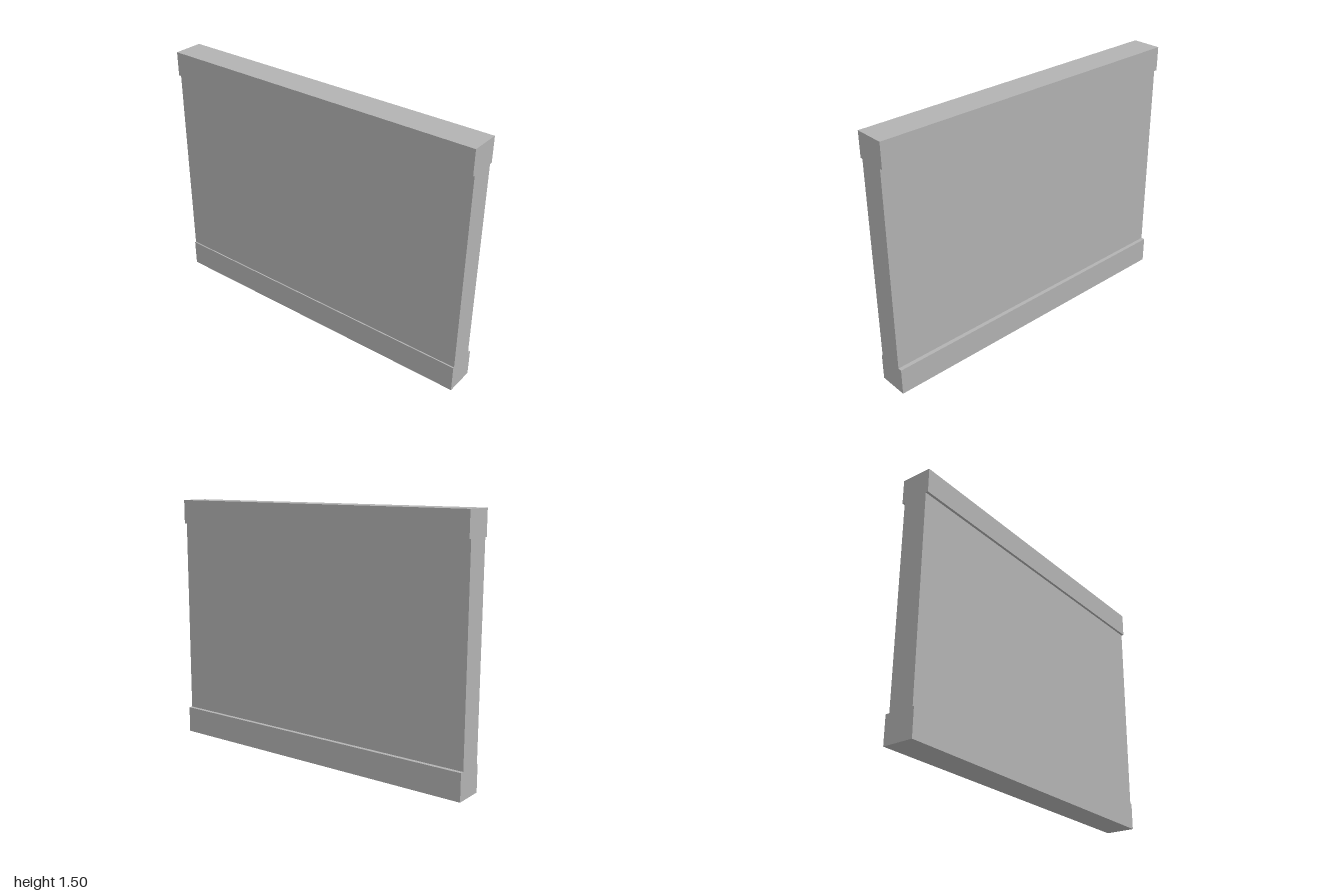
import * as THREE from 'three';

export function createModel() {
  const model = new THREE.Group();
  model.name = 'wallPanel';
  const grey = new THREE.MeshStandardMaterial({ color: 0xb2b2b2 });
  grey.name = 'plaster grey';

  // Wall cross-section (z, y): base course, slimmer panel, top cap
  const profile = new THREE.Shape([
    [-0.093, 0], [0.087, 0], [0.087, 0.16], [0.079, 0.16],
    [0.079, 1.355], [0.094, 1.355], [0.094, 1.5], [-0.086, 1.5],
    [-0.086, 1.355], [-0.069, 1.355], [-0.069, 0.16], [-0.093, 0.16],
  ].map(([z, y]) => new THREE.Vector2(-z, y)).reverse());

  // Run the section along x, turning shape x into -z
  const geometry = new THREE.ExtrudeGeometry(profile, { depth: 2, bevelEnabled: false });
  geometry.translate(0, 0, -1).rotateY(Math.PI / 2);

  const wall = new THREE.Mesh(geometry, grey);
  wall.name = 'wallWithBaseAndCap';
  model.add(wall);
  return model;
}
